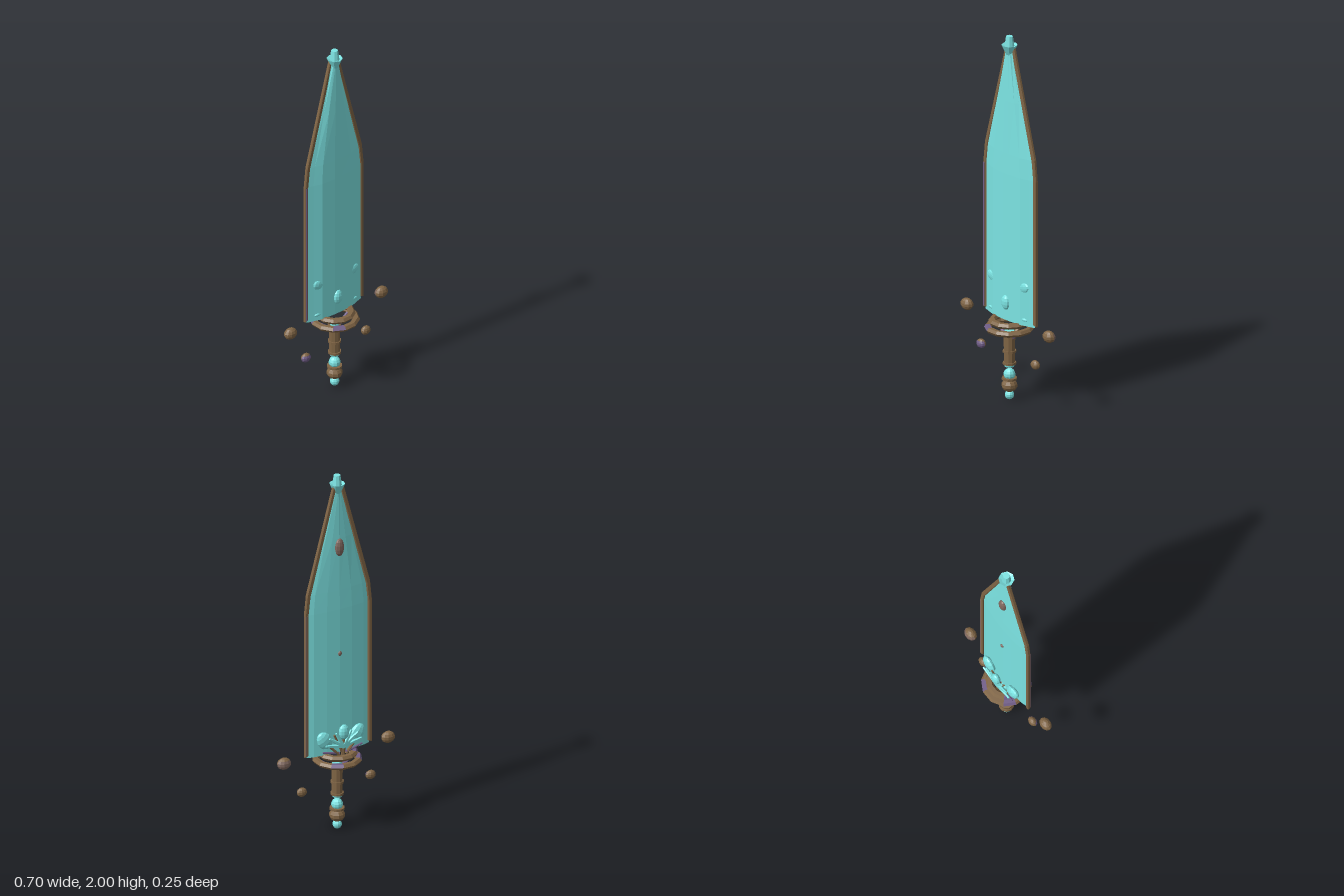
import * as THREE from 'three';

const make = (name, color) => {
  const m = new THREE.MeshStandardMaterial({ color, flatShading: true });
  m.name = name;
  return m;
};

export function createModel() {
  const root = new THREE.Group();
  root.name = 'fantasySword';
  const crystal = make('turquoise crystal', 0x7ce4e3);
  const bronze = make('bronze', 0x806545);
  const violet = make('violet patina', 0x715e88);
  const mauve = make('mauve bronze', 0x80685f);

  const add = (name, geo, mat, x = 0, y = 0, z = 0) => {
    const m = new THREE.Mesh(geo, mat);
    m.name = name;
    m.position.set(x, y, z);
    root.add(m);
    return m;
  };
  const egg = (name, mat, x, y, z, rx, ry, rz, tilt = 0) => {
    const m = add(name, new THREE.SphereGeometry(1, 10, 7), mat, x, y, z);
    m.scale.set(rx, ry, rz);
    m.rotation.z = tilt;
  };
  // Tapered rod between two points
  const rod = (name, mat, a, b, r0, r1, n = 6) => {
    const A = new THREE.Vector3(...a), B = new THREE.Vector3(...b);
    const m = add(name, new THREE.CylinderGeometry(r1, r0, A.distanceTo(B), n), mat);
    m.position.copy(A).add(B).multiplyScalar(0.5);
    m.quaternion.setFromUnitVectors(new THREE.Vector3(0, 1, 0), B.sub(A).normalize());
  };

  // Blade: faceted lens section, lofted upwards [y, half width, thickness factor]
  const levels = [[0.443, 0.187, 1], [1.0, 0.187, 1], [1.25, 0.187, 1],
    [1.36, 0.175, 0.95], [1.65, 0.098, 0.8], [1.94, 0.022, 0.55]];
  const section = [[-1, -0.005], [-0.8, 0.006], [-0.55, 0.021], [-0.12, 0.027], [0.12, 0.027], [0.55, 0.021],
    [0.8, 0.006], [1, -0.005], [0.8, -0.016], [0.4, -0.024], [0, -0.027], [-0.4, -0.024], [-0.8, -0.016]];
  const n = section.length, pos = [], idx = [];
  levels.forEach(([y, w, t]) => section.forEach(([x, z]) => pos.push(x * w, y, z * t)));
  for (let l = 0; l < levels.length - 1; l++)
    for (let i = 0; i < n; i++) {
      const a = l * n + i, b = l * n + (i + 1) % n;
      idx.push(a, b, b + n, a, b + n, a + n);
    }
  const top = (levels.length - 1) * n;
  for (let i = 1; i < n - 1; i++) idx.push(0, i + 1, i, top, top + i, top + i + 1);
  const bladeGeo = new THREE.BufferGeometry();
  bladeGeo.setAttribute('position', new THREE.Float32BufferAttribute(pos, 3));
  bladeGeo.setIndex(idx);
  bladeGeo.computeVertexNormals();
  add('blade', bladeGeo, crystal);

  // Bevelled bronze trim along both edges of the blade
  const edge = [[0.197, 0.455], [0.197, 1.25], [0.185, 1.365], [0.028, 1.94],
    [0.014, 1.94], [0.171, 1.355], [0.183, 1.25], [0.183, 0.46]];
  for (const s of [-1, 1]) {
    const shape = new THREE.Shape(edge.map(([x, y]) => new THREE.Vector2(s * x, y)));
    const geo = new THREE.ExtrudeGeometry(shape, {
      depth: 0.011, bevelEnabled: true, bevelThickness: 0.004, bevelSize: 0.004, bevelSegments: 1 });
    add('bladeTrim', geo, bronze, 0, 0, -0.013);
  }
  // Patina strips on the trim
  add('frontTrimInlay', new THREE.BoxGeometry(0.01, 0.79, 0.004), violet, -0.193, 0.855, 0.002);
  add('backTrimInlay', new THREE.BoxGeometry(0.01, 0.79, 0.004), mauve, 0.193, 0.855, -0.0165);

  // Flared crystal tip
  const cup = [[0, 1.885], [0.018, 1.9], [0.042, 1.953], [0.025, 1.945], [0, 1.945]];
  add('tipCup', new THREE.LatheGeometry(cup.map(p => new THREE.Vector2(...p)), 8), crystal);
  add('tipSpike', new THREE.CylinderGeometry(0.018, 0.026, 0.06, 8), crystal, 0, 1.97, 0);

  // Front jewel and shallow crystal swellings
  egg('frontJewel', crystal, 0, 0.54, 0.027, 0.028, 0.04, 0.018);
  for (const s of [-1, 1]) {
    egg('bladeSwelling', crystal, s * 0.115, 0.65, 0.01, 0.042, 0.028, 0.012, s * 0.25);
    egg('bladeChip', crystal, s * 0.12, 0.475, 0.009, 0.025, 0.01, 0.01);
  }

  // Back studs
  egg('backStud', mauve, 0, 1.6, -0.024, 0.026, 0.05, 0.018);
  egg('smallBackStud', mauve, 0, 1.0, -0.028, 0.011, 0.013, 0.008);

  // Crystal bouquet behind the blade root
  egg('centreBud', crystal, 0, 0.572, -0.068, 0.03, 0.042, 0.021);
  for (const s of [-1, 1]) {
    egg('sideBud', crystal, s * 0.098, 0.532, -0.036, 0.041, 0.053, 0.022, -s * 0.6);
    rod('budStem', bronze, [s * 0.02, 0.44, -0.055], [s * 0.085, 0.51, -0.05], 0.009, 0.006);
    rod('upperStem', bronze, [0, 0.45, -0.055], [s * 0.05, 0.56, -0.055], 0.008, 0.005);
    rod('violetStem', violet, [s * 0.02, 0.45, -0.053], [s * 0.118, 0.475, -0.053], 0.008, 0.004);
  }
  rod('centreStem', bronze, [0, 0.42, -0.055], [0, 0.55, -0.065], 0.011, 0.007);
  for (const a of [-1.35, -0.95, -0.5, 0.5, 0.95, 1.35]) {
    const len = 0.08 + 0.03 * Math.abs(Math.sin(a));
    rod('leafShard', crystal, [0, 0.49, -0.062],
      [Math.sin(a) * len, 0.49 + Math.cos(a) * len, -0.067], 0.014, 0.006, 5);
  }

  // Guard: two stacked rings with a few violet segments
  const ring = (name, R, r, y, violetSegs) => {
    const N = 12, M = 6;
    const geo = new THREE.TorusGeometry(R, r, M, N).rotateX(-Math.PI / 2).rotateY(Math.PI / N);
    geo.scale(1, 0.8, 1);
    for (let j = 0; j < M; j++)
      for (let i = 0; i < N; i++)
        geo.addGroup((j * N + i) * 6, 6, violetSegs.includes(i) && j < 2 ? 1 : 0);
    add(name, geo, [bronze, violet], 0, y, 0);
  };
  ring('lowerGuardRing', 0.111, 0.02, 0.398, [1, 4, 7]);
  ring('upperGuardRing', 0.089, 0.02, 0.434, [4]);
  for (const s of [-1, 1])
    rod('guardStrut', violet, [s * 0.024, 0.345, 0], [s * 0.09, 0.395, 0], 0.01, 0.01);
  rod('backStrut', bronze, [0, 0.345, -0.03], [0, 0.4, -0.09], 0.012, 0.009);

  // Grip with collars
  add('grip', new THREE.CylinderGeometry(0.03, 0.029, 0.17, 10), bronze, 0, 0.28, 0);
  for (const y of [0.2, 0.265, 0.35])
    add('gripCollar', new THREE.CylinderGeometry(0.035, 0.035, 0.012, 10), bronze, 0, y, 0);
  add('gripTop', new THREE.CylinderGeometry(0.026, 0.026, 0.018, 10), crystal, 0, 0.372, 0);
  add('gripEnd', new THREE.CylinderGeometry(0.028, 0.025, 0.014, 10), crystal, 0, 0.188, 0);

  // Pommel stack
  egg('pommelCrystal', crystal, 0, 0.138, 0, 0.031, 0.032, 0.031);
  add('pommelCollar', new THREE.CylinderGeometry(0.04, 0.04, 0.012, 10), bronze, 0, 0.115, 0);
  egg('pommelBall', bronze, 0, 0.078, 0, 0.042, 0.036, 0.042);
  egg('pommelDrop', crystal, 0, 0.025, 0, 0.025, 0.025, 0.025);

  // Floating stones beside the guard
  for (const s of [-1, 1]) {
    egg('largeFloatingStone', bronze, s * 0.312, 0.437, 0.011, 0.039, 0.032, 0.028);
    egg('smallFloatingStone', bronze, s * 0.206, 0.25, 0.009, 0.029, 0.025, 0.02);
  }
  // Patina faces on two of the stones
  const patina = (name, mat, x, y, z, rx, ry, rz, phi) => {
    const geo = new THREE.SphereGeometry(1, 5, 5, phi, Math.PI, 0.9, Math.PI - 0.9);
    add(name, geo, mat, x, y, z).scale.set(rx, ry, rz);
  };
  patina('violetStoneFace', violet, -0.206, 0.25, 0.0095, 0.0295, 0.0255, 0.021, 0);
  patina('mauveStoneFace', mauve, 0.312, 0.437, 0.0105, 0.0395, 0.0325, 0.029, Math.PI);
  return root;
}
